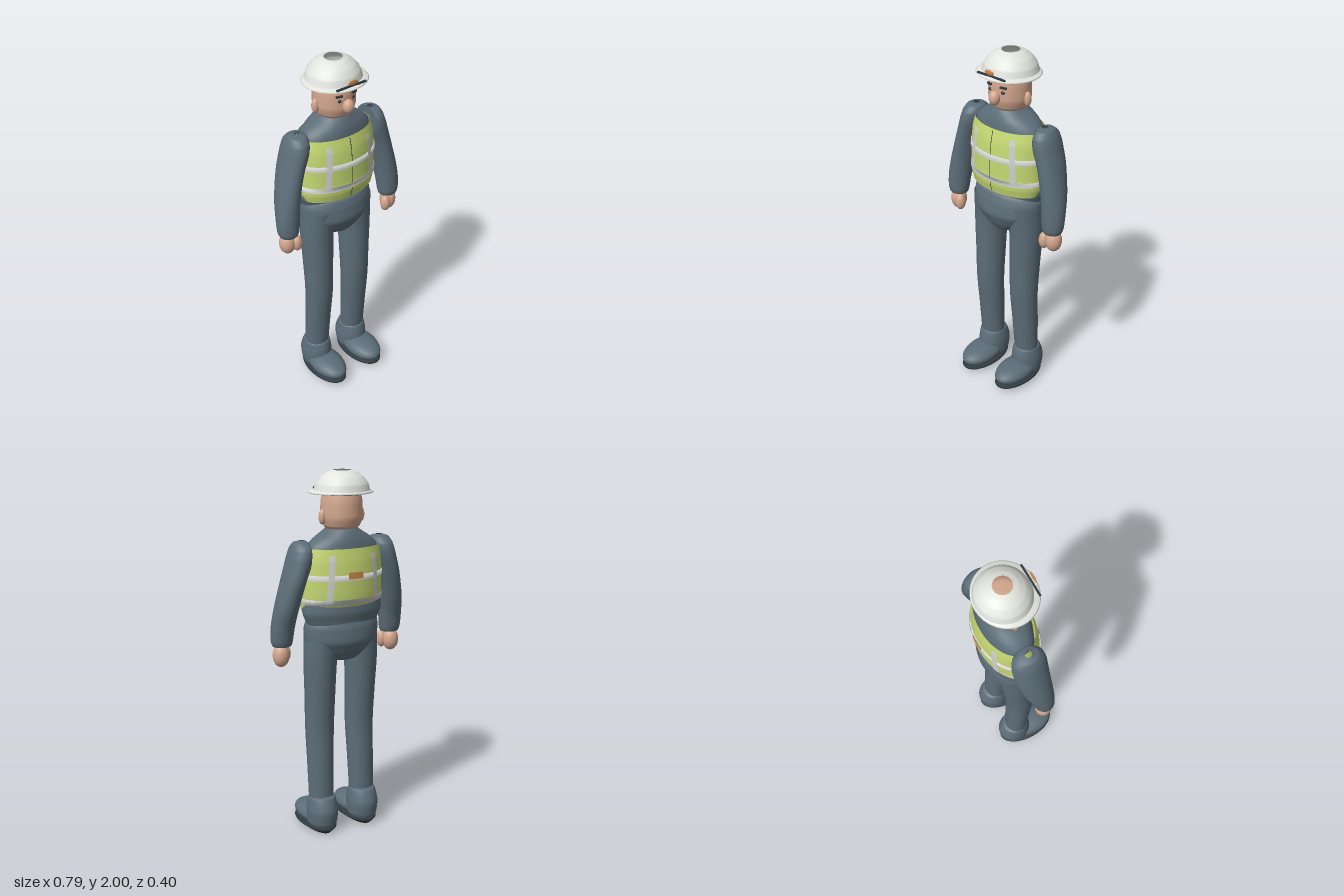
import * as THREE from 'three';
import { ParametricGeometry } from 'three/addons/geometries/ParametricGeometry.js';

const mat = (name, color) => {
  const m = new THREE.MeshStandardMaterial({ color, side: THREE.DoubleSide });
  m.name = name;
  return m;
};

// Smooth path through elliptical rings [y, cx, rx, cz, rz], listed from top to bottom
function ringSampler(rings) {
  const centre = new THREE.CatmullRomCurve3(rings.map(r => new THREE.Vector3(r[1], r[0], r[3])));
  const radius = new THREE.CatmullRomCurve3(rings.map(r => new THREE.Vector3(r[2], 0, r[4])));
  return t => [centre.getPoint(t), radius.getPoint(t)];
}

function loft(rings, { side = 1, sub = 5, slices = 40, minX = -Infinity } = {}) {
  const sample = ringSampler(rings);
  return new ParametricGeometry((u, v, p) => {
    const [c, r] = sample(v), a = u * Math.PI * 2;
    p.set(Math.max(minX, side * c.x + r.x * Math.cos(a)), c.y, c.z + r.z * Math.sin(a));
  }, slices, (rings.length - 1) * sub);
}

const VEST = [
  [1.61, 0, 0.214, -0.045, 0.13], [1.55, 0, 0.228, -0.042, 0.143], [1.45, 0, 0.234, -0.04, 0.152],
  [1.35, 0, 0.235, -0.038, 0.152], [1.3, 0, 0.232, -0.032, 0.142], [1.25, 0, 0.215, -0.02, 0.118]];

// Vest ring at a given height
function vestAt(y) {
  let i = 0;
  while (i < VEST.length - 2 && VEST[i + 1][0] > y) i++;
  const a = VEST[i], b = VEST[i + 1], t = (a[0] - y) / (a[0] - b[0]);
  return a.map((n, k) => n + (b[k] - n) * t);
}

// Thin patch wrapped on the vest; dir is +1 for the front, -1 for the back
function vestPatch(xTop, xBottom, yTop, yBottom, width, dir, lift) {
  return new ParametricGeometry((u, v, p) => {
    const y = yTop + (yBottom - yTop) * v;
    const x = xTop + (xBottom - xTop) * v + (u - 0.5) * width * dir;
    const [, , rx, cz, rz] = vestAt(y);
    p.set(x, y, cz + dir * (rz * Math.sqrt(Math.max(0, 1 - (x / rx) ** 2)) + lift));
  }, 4, 12);
}

export function createModel() {
  const model = new THREE.Group();
  const suit = mat('blue grey cloth', 0x5c6d78);
  const lime = mat('lime vest', 0xc6d872);
  const silver = mat('silver tape', 0xcfcfcc);
  const white = mat('helmet white', 0xe2e4de);
  const skin = mat('skin', 0xd3a68d);
  const dark = mat('dark rubber', 0x2f3a40);
  const orange = mat('orange badge', 0xc58542);

  const add = (name, geometry, material) => {
    const m = new THREE.Mesh(geometry, material);
    m.name = name;
    model.add(m);
    return m;
  };
  const ellipsoid = (name, material, pos, r) => {
    const m = add(name, new THREE.SphereGeometry(1, 28, 20), material);
    m.position.set(...pos);
    m.scale.set(...r);
    return m;
  };
  const box = (name, material, pos, size) => {
    const m = add(name, new THREE.BoxGeometry(...size), material);
    m.position.set(...pos);
    return m;
  };

  // Body
  add('torso', loft([
    [1.71, 0, 0.075, -0.045, 0.08], [1.69, 0, 0.1, -0.045, 0.095], [1.65, 0, 0.165, -0.045, 0.112],
    [1.61, 0, 0.204, -0.045, 0.12], [1.5, 0, 0.22, -0.045, 0.125], [1.4, 0, 0.225, -0.045, 0.13],
    [1.32, 0, 0.23, -0.045, 0.13], [1.27, 0, 0.232, -0.05, 0.128], [1.22, 0, 0.215, -0.05, 0.118],
    [1.17, 0, 0.19, -0.05, 0.11]]), suit);
  add('pelvis', loft([
    [1.24, 0, 0.17, -0.04, 0.1], [1.225, 0, 0.197, -0.04, 0.122], [1.19, 0, 0.214, -0.04, 0.135],
    [1.12, 0, 0.214, -0.038, 0.143], [1.06, 0, 0.175, -0.036, 0.125], [1.0, 0, 0.09, -0.034, 0.085],
    [0.975, 0, 0.002, -0.034, 0.002]]), suit);

  // Vest with reflective tape, zip and back label
  add('vest', loft(VEST), lime);
  add('chestBand', loft([[1.475, 0, 0.232, -0.04, 0.152], [1.474, 0, 0.237, -0.04, 0.158],
    [1.446, 0, 0.238, -0.04, 0.159], [1.445, 0, 0.233, -0.04, 0.152]], { sub: 1 }), silver);
  add('waistBand', loft([[1.345, 0, 0.233, -0.037, 0.15], [1.344, 0, 0.239, -0.037, 0.155],
    [1.316, 0, 0.238, -0.036, 0.151], [1.315, 0, 0.232, -0.034, 0.145]], { sub: 1 }), silver);
  for (const s of [-1, 1]) for (const d of [-1, 1])
    add('verticalTape', vestPatch(s * 0.122, s * 0.14, 1.58, 1.33, 0.03, d, 0.008), silver);
  add('zip', vestPatch(0, 0, 1.605, 1.26, 0.004, 1, 0.003), dark);
  add('backLabel', vestPatch(0, 0, 1.49, 1.455, 0.085, -1, 0.01), orange);

  for (const s of [-1, 1]) {
    // Arms, with a small opening at the shoulder
    add('arm', loft([
      [1.65, 0.233, 0.018, -0.04, 0.018], [1.641, 0.235, 0.045, -0.041, 0.052],
      [1.61, 0.239, 0.06, -0.043, 0.083], [1.55, 0.252, 0.066, -0.043, 0.093],
      [1.45, 0.283, 0.063, -0.04, 0.09], [1.3, 0.318, 0.064, -0.022, 0.077],
      [1.2, 0.332, 0.064, -0.005, 0.064], [1.12, 0.336, 0.06, 0.003, 0.056],
      [1.092, 0.335, 0.05, 0.004, 0.046], [1.088, 0.335, 0.002, 0.004, 0.002]],
      { side: s, minX: s > 0 ? 0.215 : -Infinity }), suit);
    ellipsoid('hand', skin, [s * 0.343, 1.04, 0], [0.045, 0.063, 0.045]);
    ellipsoid('thumb', skin, [s * 0.302, 1.04, 0.03], [0.028, 0.048, 0.028]);

    // Legs
    add('leg', loft([
      [1.17, 0.115, 0.095, -0.035, 0.11], [1.0, 0.126, 0.09, -0.035, 0.096],
      [0.8, 0.126, 0.084, -0.028, 0.086], [0.6, 0.126, 0.08, -0.022, 0.077],
      [0.4, 0.128, 0.075, -0.034, 0.071], [0.18, 0.13, 0.07, -0.046, 0.064]], { side: s }), suit);

    // Boots
    add('bootAnkle', loft([
      [0.215, 0.13, 0.055, -0.05, 0.05], [0.205, 0.13, 0.073, -0.05, 0.075],
      [0.17, 0.13, 0.081, -0.053, 0.09], [0.12, 0.13, 0.087, -0.056, 0.099],
      [0.06, 0.13, 0.084, -0.052, 0.095], [0.03, 0.13, 0.07, -0.05, 0.085]], { side: s }), suit);
    ellipsoid('bootToe', suit, [s * 0.13, 0.075, 0.05], [0.092, 0.053, 0.15]);
    add('sole', loft([
      [0.042, 0.13, 0.06, 0.025, 0.13], [0.038, 0.13, 0.092, 0.025, 0.17],
      [0.028, 0.13, 0.097, 0.025, 0.175], [0.018, 0.13, 0.085, 0.022, 0.163],
      [0, 0.13, 0.06, 0.015, 0.14], [0, 0.13, 0.001, 0.015, 0.001]], { side: s, sub: 1 }), dark);

    // Face pairs
    ellipsoid('ear', skin, [s * 0.115, 1.765, -0.045], [0.02, 0.04, 0.02]);
    ellipsoid('eye', dark, [s * 0.041, 1.81, 0.059], [0.011, 0.009, 0.008]);
    box('eyebrow', dark, [s * 0.046, 1.838, 0.062], [0.035, 0.009, 0.012]).rotation.set(0, s * 0.4, -s * 0.1);
  }

  // Head
  add('head', loft([
    [1.925, 0, 0.002, -0.043, 0.002], [1.92, 0, 0.06, -0.043, 0.06], [1.895, 0, 0.097, -0.043, 0.1],
    [1.84, 0, 0.109, -0.043, 0.111], [1.77, 0, 0.112, -0.043, 0.112], [1.72, 0, 0.1, -0.043, 0.098],
    [1.69, 0, 0.07, -0.043, 0.07], [1.675, 0, 0.002, -0.043, 0.002]]), skin);
  ellipsoid('nose', skin, [0, 1.777, 0.076], [0.03, 0.038, 0.03]);

  // Helmet, open at the crown
  add('helmetShell', loft([
    [2.0, 0, 0.048, -0.048, 0.048], [1.992, 0, 0.072, -0.048, 0.072], [1.97, 0, 0.107, -0.048, 0.105],
    [1.935, 0, 0.136, -0.048, 0.132], [1.897, 0, 0.15, -0.047, 0.143]]), white);
  add('helmetBrim', loft([
    [1.899, 0, 0.147, -0.046, 0.141], [1.893, 0, 0.17, -0.036, 0.156], [1.888, 0, 0.175, -0.035, 0.161],
    [1.884, 0, 0.17, -0.036, 0.156], [1.889, 0, 0.118, -0.043, 0.118]], { sub: 1, slices: 48 }), white);
  add('helmetHeadband', loft([[1.9, 0, 0.117, -0.043, 0.118], [1.878, 0, 0.115, -0.043, 0.116]], { sub: 1 }), dark);
  box('helmetStrip', dark, [0, 1.9, 0.1], [0.18, 0.009, 0.009]);
  ellipsoid('helmetBadge', orange, [0, 1.923, 0.113], [0.03, 0.014, 0.005]);

  return model;
}
